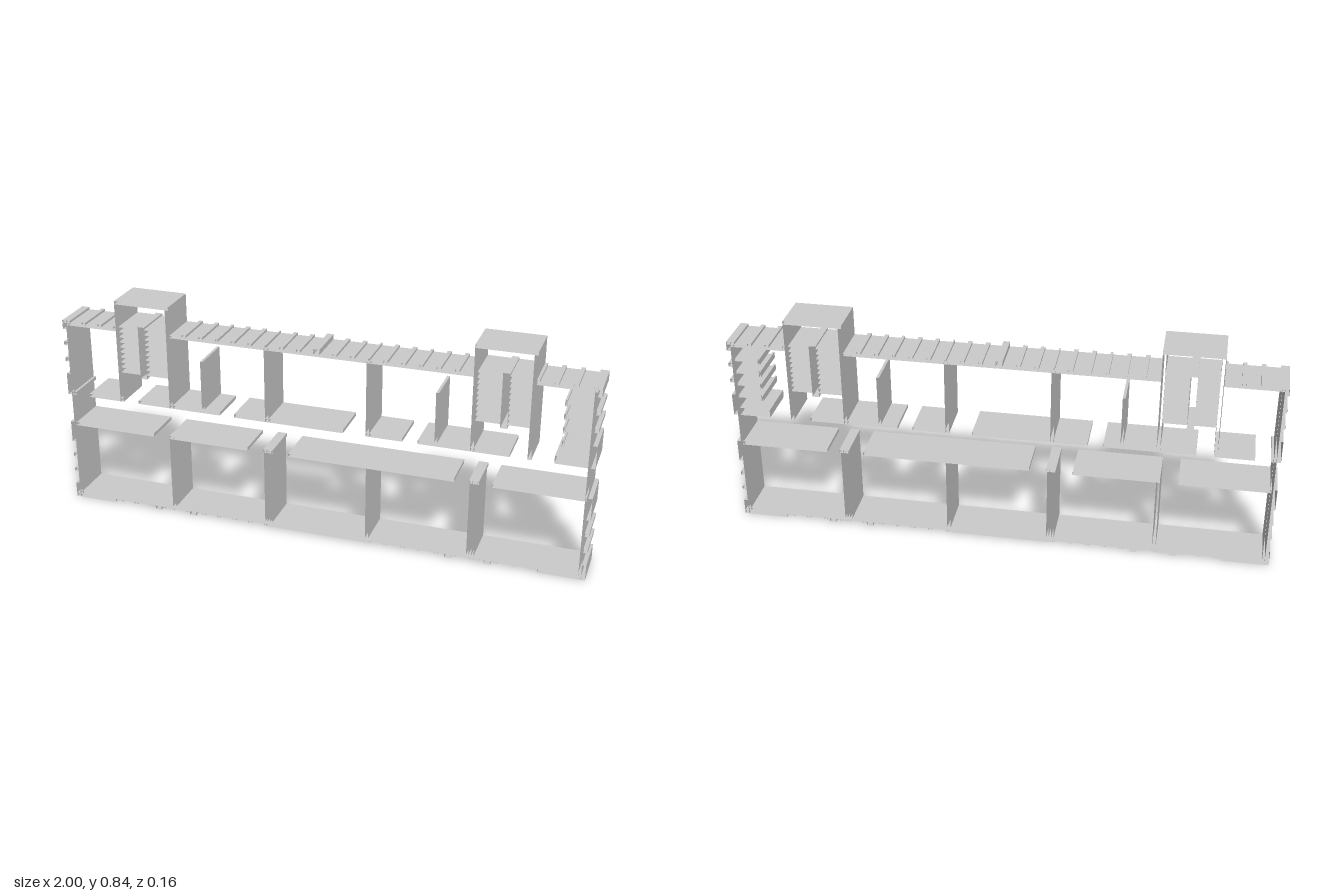
import * as THREE from 'three';

const DEPTH = 0.16;
const WINDOW = 0.05, MULLION = 0.015;

export function createModel() {
  const model = new THREE.Group();
  const material = new THREE.MeshStandardMaterial({ color: 0xcccccc, side: THREE.DoubleSide, flatShading: true });

  // A wall of the plan: a rectangle in x and y drawn out along z, open at both z ends
  function wall(name, x0, x1, y0, y1) {
    const geo = new THREE.BoxGeometry(x1 - x0, y1 - y0, DEPTH);
    geo.setIndex(Array.from(geo.index.array).slice(0, 24));
    geo.clearGroups();
    const mesh = new THREE.Mesh(geo, material);
    mesh.name = name;
    mesh.position.set((x0 + x1) / 2, (y0 + y1) / 2, 0);
    model.add(mesh);
  }

  // Solid stretches left between from and to once groups of three windows are cut
  function piers(from, to, centres) {
    const spans = [];
    let start = from;
    for (const c of centres) {
      for (let i = -1; i <= 1; i++) {
        const mid = c + i * (WINDOW + MULLION);
        spans.push([start, mid - WINDOW / 2]);
        start = mid + WINDOW / 2;
      }
    }
    spans.push([start, to]);
    return spans;
  }

  // End walls: recessed glazing with piers outside
  for (const s of [-1, 1]) {
    const side = (name, a, b, y0, y1) => wall(name, Math.min(s * a, s * b), Math.max(s * a, s * b), y0, y1);
    side('endWall', 0.975, 0.985, 0.012, 0.73);
    for (const [a, b] of piers(0, 0.325, [0.15])) side('endPier', 0.985, 1, a, b);
    for (const [a, b] of piers(0.44, 0.74, [0.615])) side('endPier', 0.985, 1, a, b);

    // Stair tower
    side('towerOuterWall', 0.767, 0.78, 0.44, 0.828);
    side('towerInnerWall', 0.565, 0.578, 0.44, 0.828);
    side('towerRoof', 0.565, 0.78, 0.828, 0.84);
    side('stairDivider', 0.665, 0.69, 0.545, 0.75);
    for (let i = 0; i < 10; i++) {
      const y = 0.56 + i * 0.02;
      side('stairTread', 0.69, 0.767, y, y + 0.003);
      side('stairTread', 0.578, 0.665, y, y + 0.003);
    }

    // Room walls
    side('upperRoomWall', 0.185, 0.198, 0.44, 0.728);
    side('upperPartition', 0.437, 0.447, 0.455, 0.645);

    // Roof plates and outer piers
    side('roofPlate', 0.78, 0.985, 0.722, 0.731);
    for (const [a, b] of piers(0.78, 1, [0.88])) side('roofPier', a, b, 0.731, 0.74);
    for (const [a, b] of piers(0.012, 0.565, [0.1, 0.285, 0.475])) side('roofPier', a, b, 0.731, 0.74);

    // Bottom facade piers
    for (const [a, b] of piers(0.2, 0.83, [0.3, 0.49, 0.71])) side('bottomPier', a, b, 0.008, 0.014);
    side('bottomCornerPier', 0.83, 1, 0, 0.014);
    side('bottomPilaster', 0.635, 0.66, 0, 0.014);
    side('bottomPilaster', 0.49, 0.515, 0, 0.014);
  }
  wall('roofPlate', -0.565, 0.565, 0.722, 0.731);
  wall('roofPilaster', -0.012, 0.012, 0.731, 0.75);
  wall('bottomPlate', -0.985, 0.985, 0.014, 0.025);
  wall('bottomMiddlePier', -0.2, 0.2, 0.006, 0.014);

  // Lower room walls, two of them double with a cap
  wall('lowerRoomWall', -0.585, -0.572, 0.025, 0.315);
  wall('lowerRoomWall', 0.188, 0.2, 0.025, 0.312);
  for (const x of [-0.19, 0.585]) {
    wall('doubleWall', x - 0.015, x - 0.006, 0.025, 0.322);
    wall('doubleWall', x + 0.004, x + 0.013, 0.025, 0.322);
    wall('doubleWallCap', x - 0.018, x + 0.018, 0.315, 0.327);
  }

  // Corridor walls with door gaps
  for (const [a, b] of [[-0.98, -0.65], [-0.585, -0.27], [-0.11, 0.513], [0.65, 0.98]])
    wall('lowerCorridorWall', a, b, 0.312, 0.325);
  for (const [a, b] of [[-0.91, -0.767], [-0.705, -0.376], [-0.32, 0.1], [0.185, 0.32], [0.376, 0.705]])
    wall('upperCorridorWall', a, b, 0.44, 0.453);
  wall('corridorEndStub', -0.985, -0.965, 0.44, 0.453);

  // Washroom stalls
  wall('washroomWall', 0.86, 0.975, 0.44, 0.47);
  for (const y of [0.515, 0.565, 0.615, 0.665]) {
    wall('stallPartition', 0.885, 0.975, y, y + 0.007);
    wall('stallFront', 0.88, 0.887, y - 0.008, y + 0.015);
  }

  return model;
}
